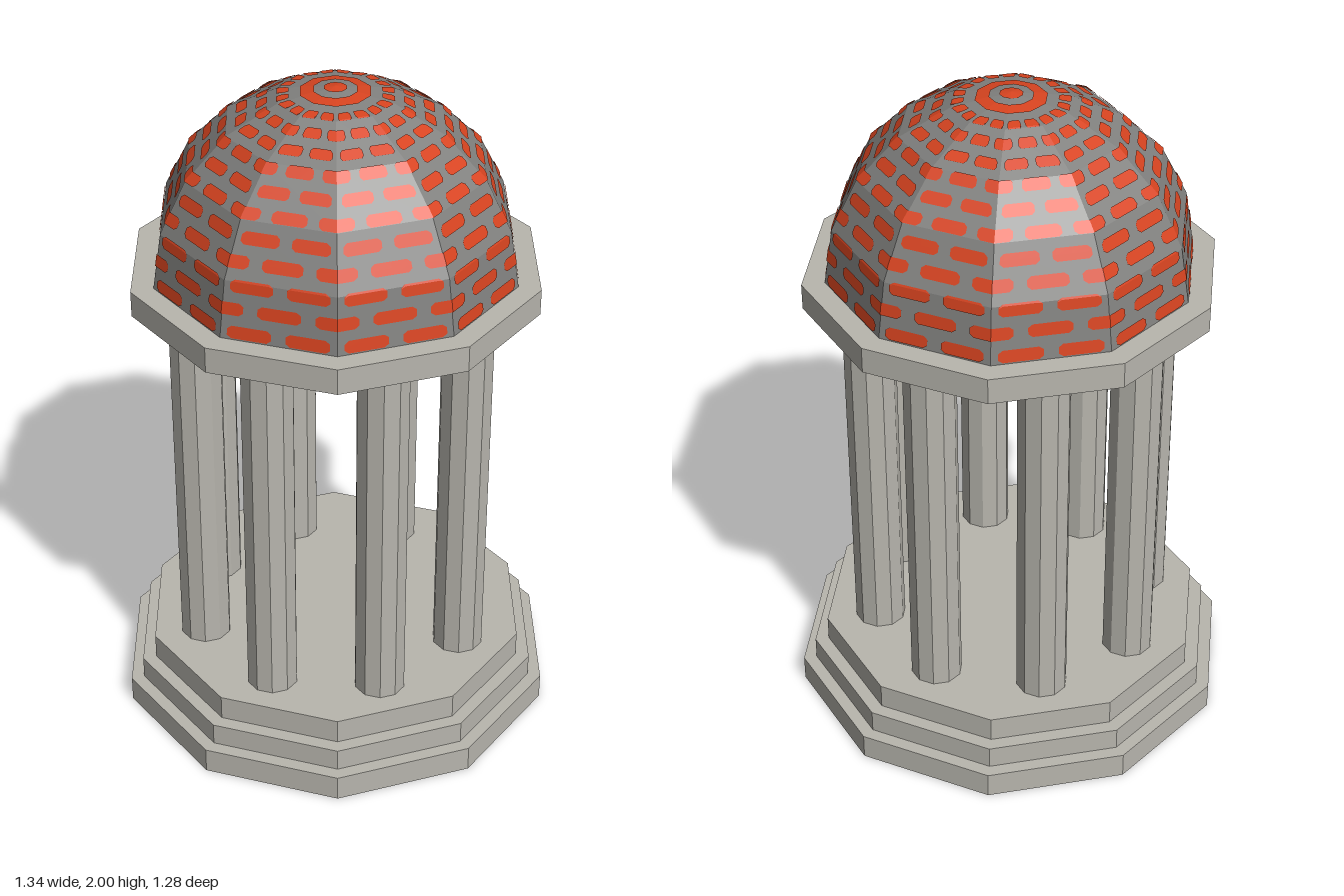
import * as THREE from 'three';

const SIDES = 10, STEP = Math.PI / 2 / 5, DEG = Math.PI / 180;
const DOME_R = 0.54, DOME_Y = 1.46;

function makeMaterial(name, color) {
  const m = new THREE.MeshStandardMaterial({ color, flatShading: true, side: THREE.DoubleSide });
  m.name = name;
  return m;
}

function addMesh(parent, name, geometry, material) {
  const mesh = new THREE.Mesh(geometry, material);
  mesh.name = name;
  parent.add(mesh);
  return mesh;
}

// Ten-sided revolved shape with corners on the x axis
function decagon(points) {
  return new THREE.LatheGeometry(points.map(p => new THREE.Vector2(...p)), SIDES, Math.PI / 2);
}

// Point on the faceted dome, for an azimuth and elevation in degrees
function domePoint(azimuth, elevation, scale) {
  const corner = (i, j) => new THREE.Vector3(
    Math.cos(j * STEP) * Math.cos(i * 36 * DEG),
    Math.sin(j * STEP),
    Math.cos(j * STEP) * Math.sin(i * 36 * DEG));
  const u = azimuth / 36, v = Math.min(elevation, 90) / 18;
  const i = Math.floor(u + 1e-6), j = Math.min(4, Math.floor(v + 1e-6));
  const low = corner(i, j).lerp(corner(i + 1, j), u - i);
  const high = corner(i, j + 1).lerp(corner(i + 1, j + 1), u - i);
  return low.lerp(high, v - j).multiplyScalar(DOME_R * scale);
}

// Thin brick face that bends with the dome facets; chamfer narrows its ends
function addBrick(out, center, halfWidth, lo, hi, chamfer) {
  const mid = (lo + hi) / 2;
  const fold = Math.round(mid / 18) * 18;
  const rows = fold > lo + 0.05 && fold < hi - 0.05 ? [lo, fold, hi] : [lo, mid, hi];
  const columns = [-1, -0.8, 0, 0.8, 1].map(t => rows.map(e => {
    const squeeze = Math.abs(t) === 1 ? chamfer : 1;
    return domePoint(center + t * halfWidth, mid + (e - mid) * squeeze, 1.006);
  }));
  for (let c = 0; c < 4; c++) {
    for (let r = 0; r < 2; r++) {
      const a = columns[c][r], b = columns[c + 1][r];
      const d = columns[c][r + 1], e = columns[c + 1][r + 1];
      for (const p of [a, d, b, b, d, e]) out.push(p.x, p.y, p.z);
    }
  }
}

function brickGeometry() {
  const out = [];
  for (let row = 0; row < 11; row++) {
    const elevation = 2.5 + row * 7.1;
    for (let k = 0; k < 20; k++) {
      const center = k * 18 + (row % 2 ? 0 : 9);
      addBrick(out, center, 6.8, elevation - 1.95, elevation + 1.95, 0.5);
    }
  }
  // Closed ring and round cap at the crown
  for (let k = 0; k < SIDES; k++) {
    addBrick(out, k * 36 + 18, 18, 79, 83.3, 1);
    addBrick(out, k * 36 + 18, 18, 86.4, 90, 1);
  }
  const geometry = new THREE.BufferGeometry();
  geometry.setAttribute('position', new THREE.Float32BufferAttribute(out, 3));
  geometry.computeVertexNormals();
  return geometry;
}

export function createModel() {
  const model = new THREE.Group();
  model.name = 'domedPavilion';
  const stone = makeMaterial('stone', 0xb8b6ae);
  const mortar = makeMaterial('mortar', 0x828280);
  const brick = makeMaterial('brick', 0xd84420);

  // Hollow stepped base, open underneath
  addMesh(model, 'steppedBase', decagon([
    [0.672, 0], [0.672, 0.08], [0.632, 0.08], [0.632, 0.15],
    [0.59, 0.15], [0.59, 0.228], [0, 0.228],
  ]), stone);

  // Ring of eight columns
  const columns = new THREE.Group();
  columns.name = 'columns';
  model.add(columns);
  const shaft = new THREE.CylinderGeometry(0.077, 0.077, 1.156, SIDES, 1, true, Math.PI / 2);
  for (let k = 0; k < 8; k++) {
    const a = k * Math.PI / 4;
    addMesh(columns, 'column', shaft, stone)
      .position.set(0.423 * Math.cos(a) - 0.003, 0.805, 0.423 * Math.sin(a) + 0.003);
  }

  // Flat slab carrying the dome
  addMesh(model, 'entablature', decagon([
    [0, 1.382], [0.607, 1.382], [0.607, DOME_Y], [0, DOME_Y],
  ]), stone);

  // Faceted dome with brick courses
  const dome = new THREE.Group();
  dome.name = 'dome';
  dome.position.y = DOME_Y;
  model.add(dome);
  const profile = [];
  for (let j = 0; j <= 5; j++) {
    profile.push([DOME_R * Math.cos(j * STEP), DOME_R * Math.sin(j * STEP)]);
  }
  addMesh(dome, 'domeShell', decagon(profile), mortar);
  addMesh(dome, 'domeBricks', brickGeometry(), brick);

  return model;
}
